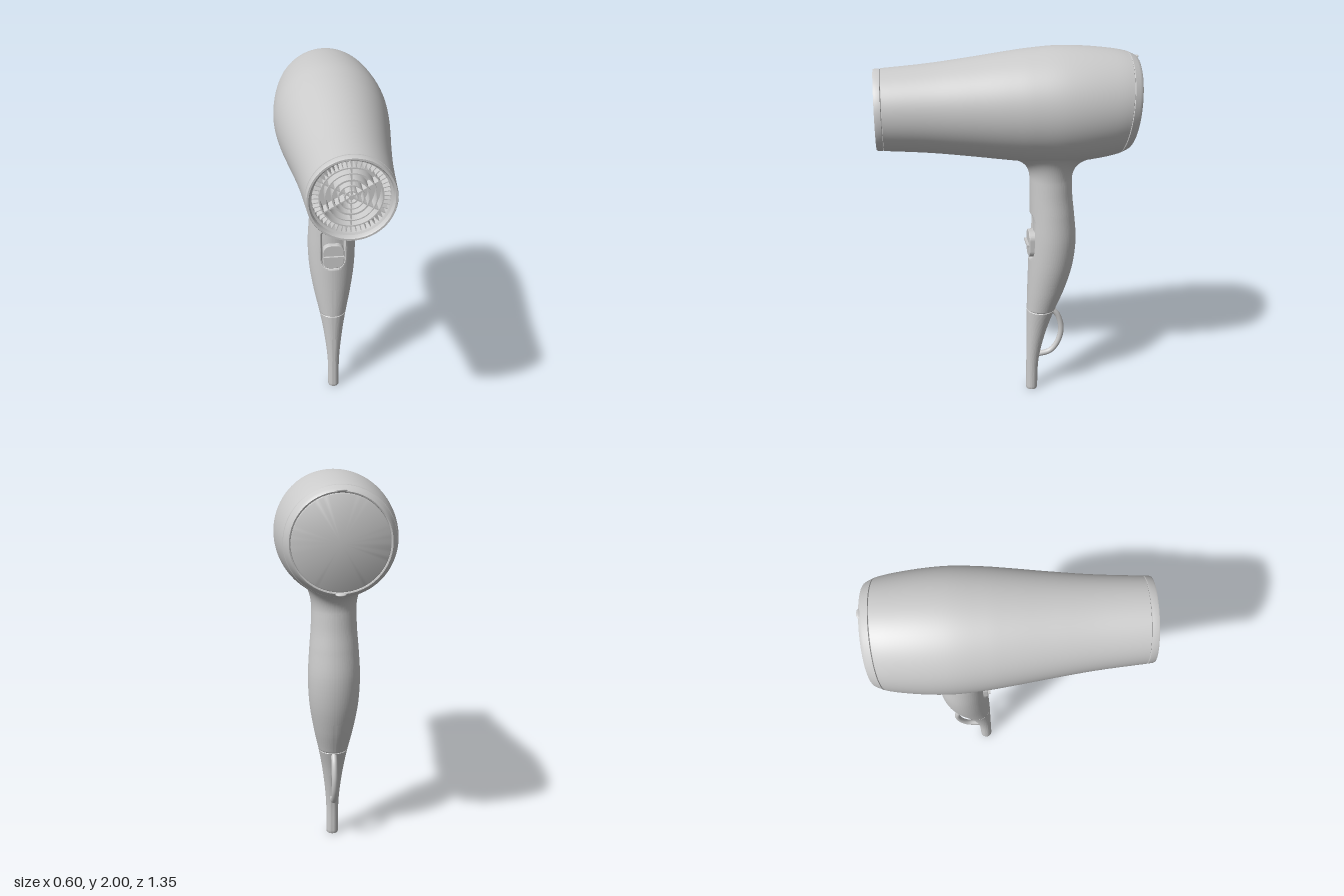
import * as THREE from 'three';
import { toCreasedNormals } from 'three/addons/utils/BufferGeometryUtils.js';

const material = new THREE.MeshStandardMaterial({ color: 0xcccccc });
const AXIS_Y = 1.7;

// Smooth interpolation through rows of [position, value, value, ...]
function table(rows) {
  const stride = rows[0].length - 1;
  const interp = new THREE.CubicInterpolant(rows.map(r => r[0]), rows.flatMap(r => r.slice(1)), stride, new Float32Array(stride));
  return t => Array.from(interp.evaluate(t));
}

// Barrel radius along z
const barrelTable = table([
  [-0.65, 0.243], [-0.6, 0.262], [-0.5, 0.282], [-0.28, 0.3], [-0.1, 0.289],
  [0, 0.277], [0.2, 0.25], [0.4, 0.226], [0.68, 0.204]]);
const barrelR = z => barrelTable(z)[0];

// Handle half width, front z and back z along y
const handleAt = table([
  [0, 0.032, -0.11, -0.175], [0.2, 0.035, -0.11, -0.183], [0.4, 0.057, -0.11, -0.228],
  [0.52, 0.078, -0.11, -0.27], [0.65, 0.105, -0.112, -0.32], [0.8, 0.128, -0.116, -0.361],
  [0.95, 0.135, -0.12, -0.375], [1.1, 0.127, -0.122, -0.362], [1.2, 0.119, -0.12, -0.35],
  [1.3, 0.115, -0.118, -0.345]]);

// Surface through closed rings of [x, y, z] points
function loft(rings, crease = 0.6) {
  const n = rings[0].length, index = [];
  for (let i = 0; i < rings.length - 1; i++)
    for (let j = 0; j < n; j++) {
      const k = (j + 1) % n, a = i * n + j, b = i * n + k, c = b + n, d = a + n;
      index.push(a, b, c, a, c, d);
    }
  const g = new THREE.BufferGeometry();
  g.setAttribute('position', new THREE.Float32BufferAttribute(rings.flat(2), 3));
  g.setIndex(index);
  return toCreasedNormals(g, crease);
}

// Round loft along the barrel axis from [z, radius]; the rear leans with height
function turned(profile, segs = 72) {
  return loft(profile.map(([z, r]) => {
    const lean = -0.088 * THREE.MathUtils.smoothstep(-z, 0.2, 0.6);
    return Array.from({ length: segs }, (_, j) => {
      const a = j / segs * Math.PI * 2, y = r * Math.sin(a);
      return [r * Math.cos(a), AXIS_Y + y, z + lean * y];
    });
  }));
}

const band = (r0, r1, z0, z1) => turned([[z0, r1], [z1, r1], [z1, r0], [z0, r0]]);

// Oval handle ring at height y, with optional scale
function handleRing(y, segs, scale = 1) {
  const [w, front, back] = handleAt(y);
  const zc = (front + back) / 2, d = (front - back) / 2;
  return Array.from({ length: segs }, (_, j) => {
    const a = j / segs * Math.PI * 2;
    return [w * scale * Math.cos(a), y, zc - d * scale * Math.sin(a)];
  });
}

function roundedRect(w, h, r) {
  const s = new THREE.Shape(), x = w / 2, y = h / 2;
  s.absarc(x - r, y - r, r, 0, Math.PI / 2);
  s.absarc(-x + r, y - r, r, Math.PI / 2, Math.PI);
  s.absarc(-x + r, -y + r, r, Math.PI, Math.PI * 1.5);
  s.absarc(x - r, -y + r, r, Math.PI * 1.5, Math.PI * 2);
  return s;
}

function makeGrip() {
  const segs = 144, rings = [handleRing(0.52, segs, 0.95), handleRing(0.523, segs)];
  for (let i = 1; i <= 100; i++) rings.push(handleRing(0.523 + 0.777 * i / 100, segs));
  // Shallow switch recess pressed into the front
  for (const ring of rings)
    for (const p of ring) {
      if (p[2] < -0.2) continue;
      const qx = Math.abs(p[0]) - 0.015, qy = Math.abs(p[1] - 0.975) - 0.075;
      const dist = Math.hypot(Math.max(qx, 0), Math.max(qy, 0)) - 0.05;
      p[2] -= 0.02 * (1 - THREE.MathUtils.smoothstep(dist, -0.006, 0.006));
    }
  // Neck flaring onto the underside of the barrel
  const base = rings[rings.length - 1], zc = -0.2315;
  const under = (x, z) => AXIS_Y - Math.sqrt(barrelR(z) ** 2 - x * x);
  for (let i = 1; i <= 14; i++) {
    const t = i / 14, u = 1 - t;
    rings.push(base.map(([x, y, z]) => {
      const ox = x * 1.65, oz = zc + (z - zc) * 2.12;
      const y1 = under(x, z), y2 = under(ox, oz) + 0.003;
      const mix = (a, b, c) => u * u * a + 2 * u * t * b + t * t * c;
      return [mix(x, x, ox), mix(y, y1, y2), mix(z, z, oz)];
    }));
  }
  return loft(rings, 0.9);
}

function makeTail() {
  const segs = 64, rings = [];
  // Hollow cord end
  rings.push(handleRing(0.02, segs, 0), handleRing(0.02, segs, 0.6), handleRing(0, segs, 0.7), handleRing(0, segs, 0.93));
  for (let i = 0; i <= 40; i++) rings.push(handleRing(0.005 + 0.512 * i / 40, segs));
  rings.push(handleRing(0.52, segs, 0.95));
  return loft(rings);
}

export function createModel() {
  const model = new THREE.Group();
  const add = (name, geometry, parent = model) => {
    const m = new THREE.Mesh(geometry, material);
    m.name = name;
    parent.add(m);
    return m;
  };

  // Barrel
  const body = [[-0.595, barrelR(-0.595) - 0.005]];
  for (let i = 0; i <= 60; i++) {
    const z = -0.592 + 1.23 * i / 60;
    body.push([z, barrelR(z)]);
  }
  body.push([0.64, barrelR(0.64) - 0.005]);
  add('barrel', turned(body, 96));

  // Rear rim and inset cover
  add('rearRim', turned([[-0.633, 0.229], [-0.641, 0.231], [-0.643, 0.237], [-0.638, 0.243], [-0.625, 0.2505],
    [-0.598, 0.262], [-0.595, 0.257]], 96));
  add('rearCover', turned([[-0.641, 0], [-0.641, 0.224], [-0.638, 0.229], [-0.625, 0.23]], 96));
  for (const s of [1, -1]) {
    const tab = add(s > 0 ? 'upperRearTab' : 'lowerRearTab', new THREE.SphereGeometry(1, 20, 12));
    tab.scale.set(0.026, 0.007, 0.016);
    tab.position.set(0, AXIS_Y + s * 0.238, -0.641 - s * 0.016);
    tab.rotation.x = s * 0.3;
  }

  // Air outlet
  add('outletRing', turned([[0.64, 0.2], [0.643, 0.206], [0.668, 0.205], [0.675, 0.202], [0.675, 0.193],
    [0.668, 0.189], [0.65, 0.187], [0.645, 0.177], [0.57, 0.175]]));
  const grille = new THREE.Group();
  grille.name = 'outletGrille';
  model.add(grille);
  add('grilleBack', turned([[0.575, 0.18], [0.575, 0]]), grille);
  for (const [r0, r1] of [[0.14, 0.146], [0.113, 0.118], [0.08, 0.088], [0.055, 0.06], [0.026, 0.032]])
    add('grilleRing', band(r0, r1, 0.58, 0.645), grille);
  add('grilleHub', band(0, 0.012, 0.58, 0.645), grille);
  const radial = (name, count, r0, r1, thick) => {
    for (let i = 0; i < count; i++) {
      const a = Math.PI / 2 + i / count * Math.PI * 2, r = (r0 + r1) / 2;
      const fin = add(name, new THREE.BoxGeometry(r1 - r0, thick, 0.06), grille);
      fin.position.set(r * Math.cos(a), AXIS_Y + r * Math.sin(a), 0.611);
      fin.rotation.z = a;
    }
  };
  radial('grilleSpoke', 6, 0.008, 0.142, 0.006);
  radial('grilleFin', 48, 0.143, 0.178, 0.004);

  // Handle
  add('handle', makeGrip());
  add('handleTail', makeTail());

  // Sliding switch with a thumb ridge
  const slider = add('switchSlider', new THREE.ExtrudeGeometry(roundedRect(0.112, 0.14, 0.04),
    { depth: 0.035, bevelSize: 0.004, bevelThickness: 0.004, bevelSegments: 2, curveSegments: 10 }));
  slider.position.set(0, 0.929, -0.152);
  add('switchRidge', new THREE.BoxGeometry(0.116, 0.012, 0.03)).position.set(0, 0.93, -0.115);

  // Hanging loop
  const path = new THREE.CatmullRomCurve3([[0.515, -0.25], [0.47, -0.288], [0.385, -0.31], [0.3, -0.293],
    [0.24, -0.248], [0.22, -0.17]].map(([y, z]) => new THREE.Vector3(0, y, z)));
  add('hangingLoop', new THREE.TubeGeometry(path, 48, 0.016, 14));

  return model;
}
